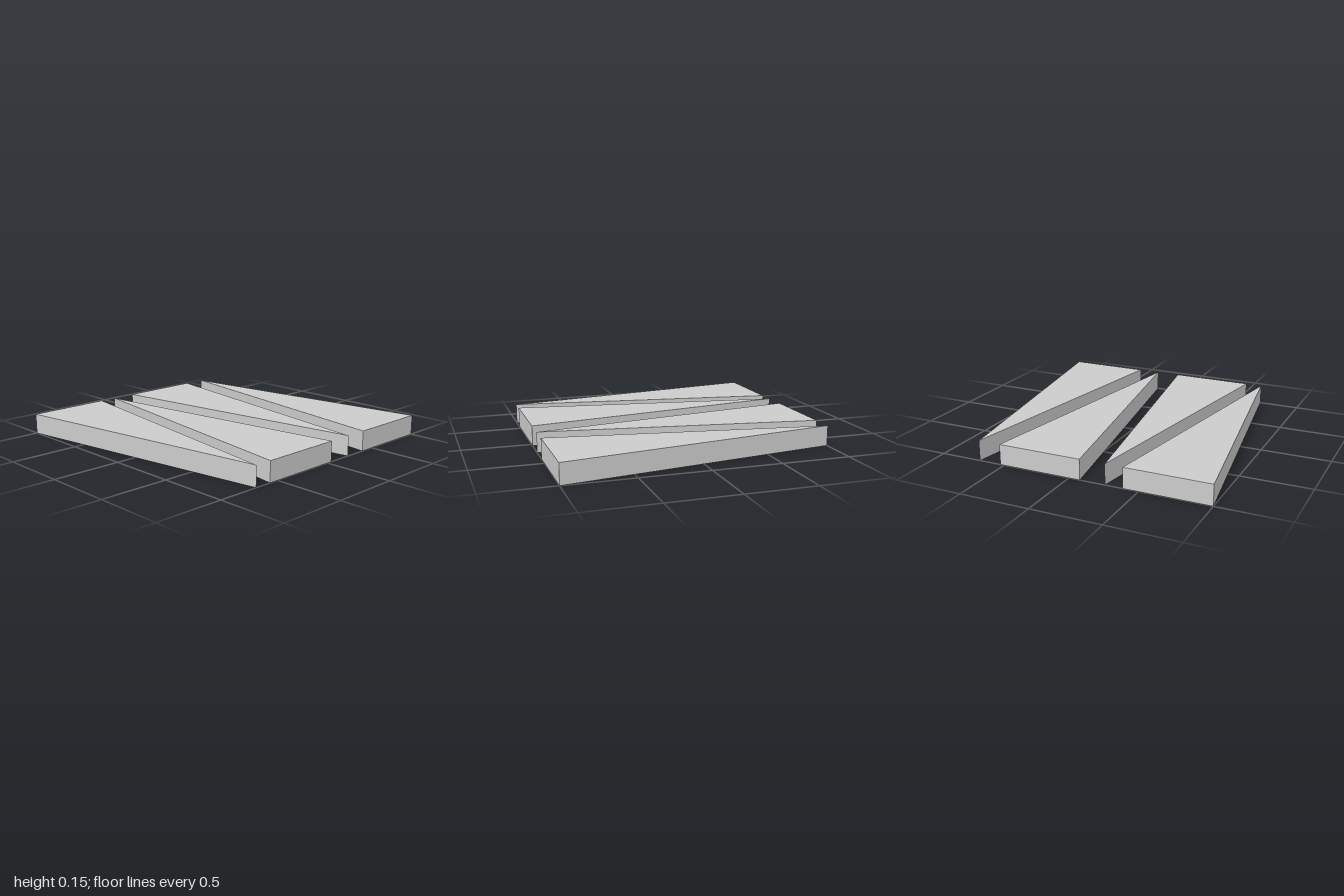
import * as THREE from 'three';

const HEIGHT = 0.147;
const HALF_WIDTH = 0.305;

// Triangular slab: blunt end at x = side, pointed end at x = -side
function wedgeGeometry(side) {
  const shape = new THREE.Shape();
  shape.moveTo(-side, 0);
  shape.lineTo(side, -HALF_WIDTH);
  shape.lineTo(side, HALF_WIDTH);
  shape.closePath();
  const geometry = new THREE.ExtrudeGeometry(shape, { depth: HEIGHT, bevelEnabled: false });
  return geometry.rotateX(-Math.PI / 2);
}

export function createModel() {
  const group = new THREE.Group();
  group.name = 'wedgeSet';
  const material = new THREE.MeshStandardMaterial({ color: 0xcccccc, flatShading: true });

  // Four wedges from back to front, pointing in alternate directions
  [-0.695, -0.224, 0.264, 0.695].forEach((z, i) => {
    const wedge = new THREE.Mesh(wedgeGeometry(i % 2 ? -1 : 1), material);
    wedge.name = `wedge${i + 1}`;
    wedge.position.z = z;
    group.add(wedge);
  });
  return group;
}
